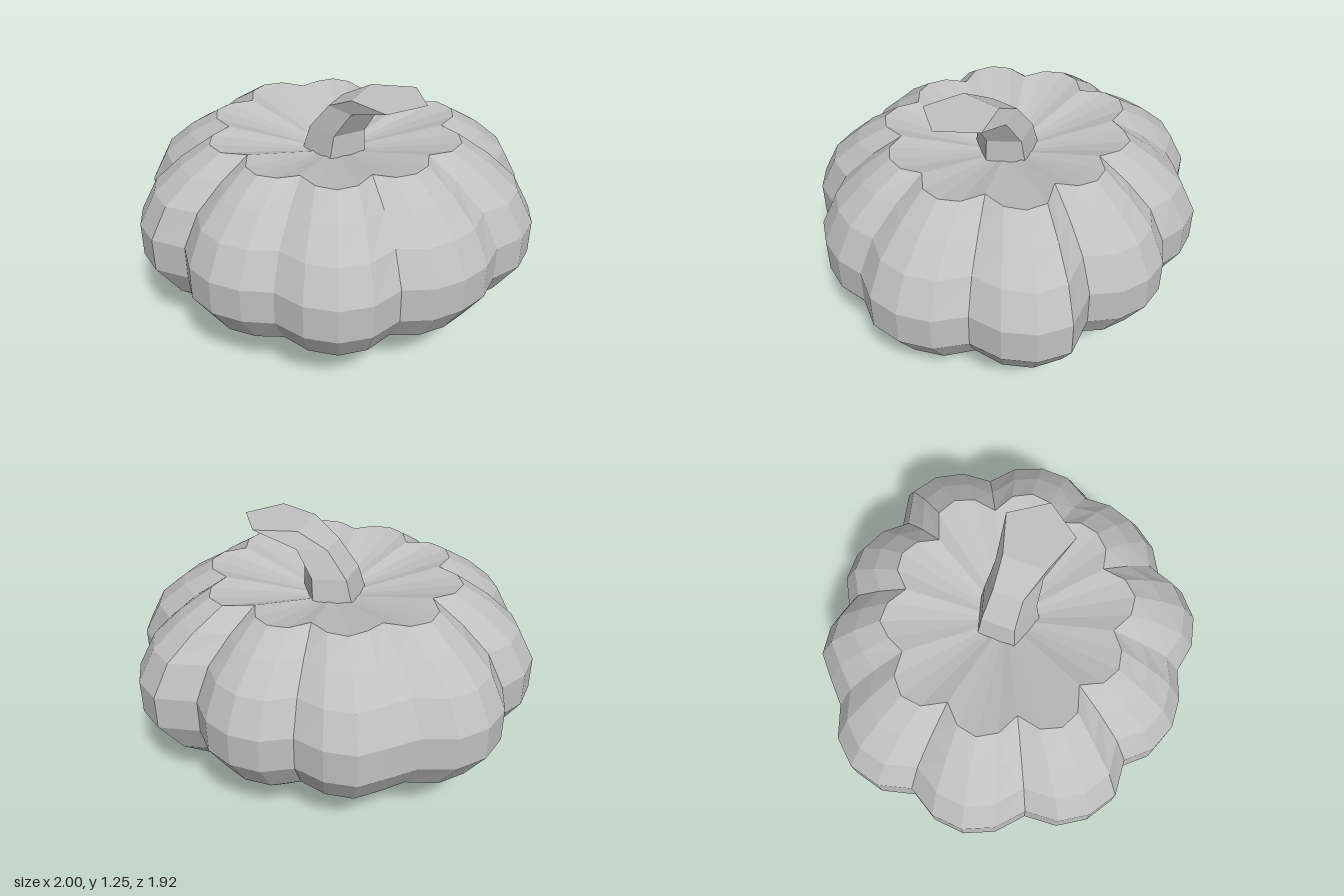
import * as THREE from 'three';

// Faceted skin over stacked closed rings, with a fan to a centre point at each end.
function loft(rings, bottomCentre, topCentre) {
  const n = rings[0].length;
  const pos = [];
  const tri = (...pts) => pts.forEach((p) => pos.push(p.x, p.y, p.z));
  for (let i = 0; i < n; i++) {
    const k = (i + 1) % n;
    for (let j = 0; j < rings.length - 1; j++) {
      const lo = rings[j], hi = rings[j + 1];
      tri(lo[k], lo[i], hi[i]);
      tri(lo[k], hi[i], hi[k]);
    }
    const top = rings[rings.length - 1];
    tri(top[k], top[i], topCentre);
    tri(rings[0][i], rings[0][k], bottomCentre);
  }
  const geo = new THREE.BufferGeometry();
  geo.setAttribute('position', new THREE.Float32BufferAttribute(pos, 3));
  geo.computeVertexNormals();
  return geo;
}

// Girth of the body every 9 degrees from the back; each row is one lobe, valley first.
const GIRTH = [
  [0.866, 1.013, 1.035, 1.007],
  [0.934, 1.007, 1.029, 1.013],
  [0.940, 0.975, 0.978, 0.961],
  [0.907, 0.982, 1.006, 0.980],
  [0.913, 0.956, 0.977, 0.958],
  [0.889, 0.996, 1.018, 0.997],
  [0.920, 0.994, 1.024, 1.001],
  [0.930, 1.013, 1.039, 1.013],
  [0.930, 0.940, 0.970, 0.934],
  [0.863, 0.930, 0.948, 0.927],
].flat();

// Height, share of the girth, and extra depth of the valleys.
const PROFILE = [
  [0.00, 0.42, 0.04],
  [0.155, 0.70, 0.03],
  [0.30, 0.89, 0.01],
  [0.47, 1.00, 0],
  [0.645, 1.00, 0],
  [0.81, 0.915, 0.01],
  [0.93, 0.78, 0.03],
  [1.027, 0.63, 0.05],
];

// Stem sections: height, centre x, centre z, radius.
const STEM = [
  [0.89, 0.00, -0.015, 0.17],
  [1.04, 0.02, -0.02, 0.145],
  [1.175, 0.115, -0.025, 0.13],
  [1.255, 0.315, -0.03, 0.188],
];

export function createModel() {
  const group = new THREE.Group();
  const grey = new THREE.MeshStandardMaterial({ color: 0xc0c0c0 });
  grey.name = 'plain grey';
  const cz = -0.015;

  // Lobed body with a sunken top
  const bodyRings = PROFILE.map(([y, share, tuck]) =>
    GIRTH.map((g, i) => {
      const a = THREE.MathUtils.degToRad(18 + i * 9);
      const side = i % 4;
      const r = g * (share - tuck * (side === 0 ? 1 : side === 2 ? 0 : 0.25));
      return new THREE.Vector3(r * Math.sin(a), y, cz - r * Math.cos(a));
    }));
  const body = new THREE.Mesh(
    loft(bodyRings, new THREE.Vector3(0, 0.04, cz), new THREE.Vector3(0, 0.89, cz)), grey);
  body.name = 'pumpkinBody';
  group.add(body);

  // Five-sided stem leaning to one side, with a flared flat tip
  const stemRings = STEM.map(([y, x, z, r]) =>
    Array.from({ length: 5 }, (_, i) => {
      const a = THREE.MathUtils.degToRad(-8 + i * 72);
      return new THREE.Vector3(x + r * Math.cos(a), y, z + r * Math.sin(a));
    }));
  const stem = new THREE.Mesh(
    loft(stemRings, new THREE.Vector3(0, 0.89, cz), new THREE.Vector3(0.315, 1.255, -0.03)), grey);
  stem.name = 'stem';
  group.add(stem);

  return group;
}
